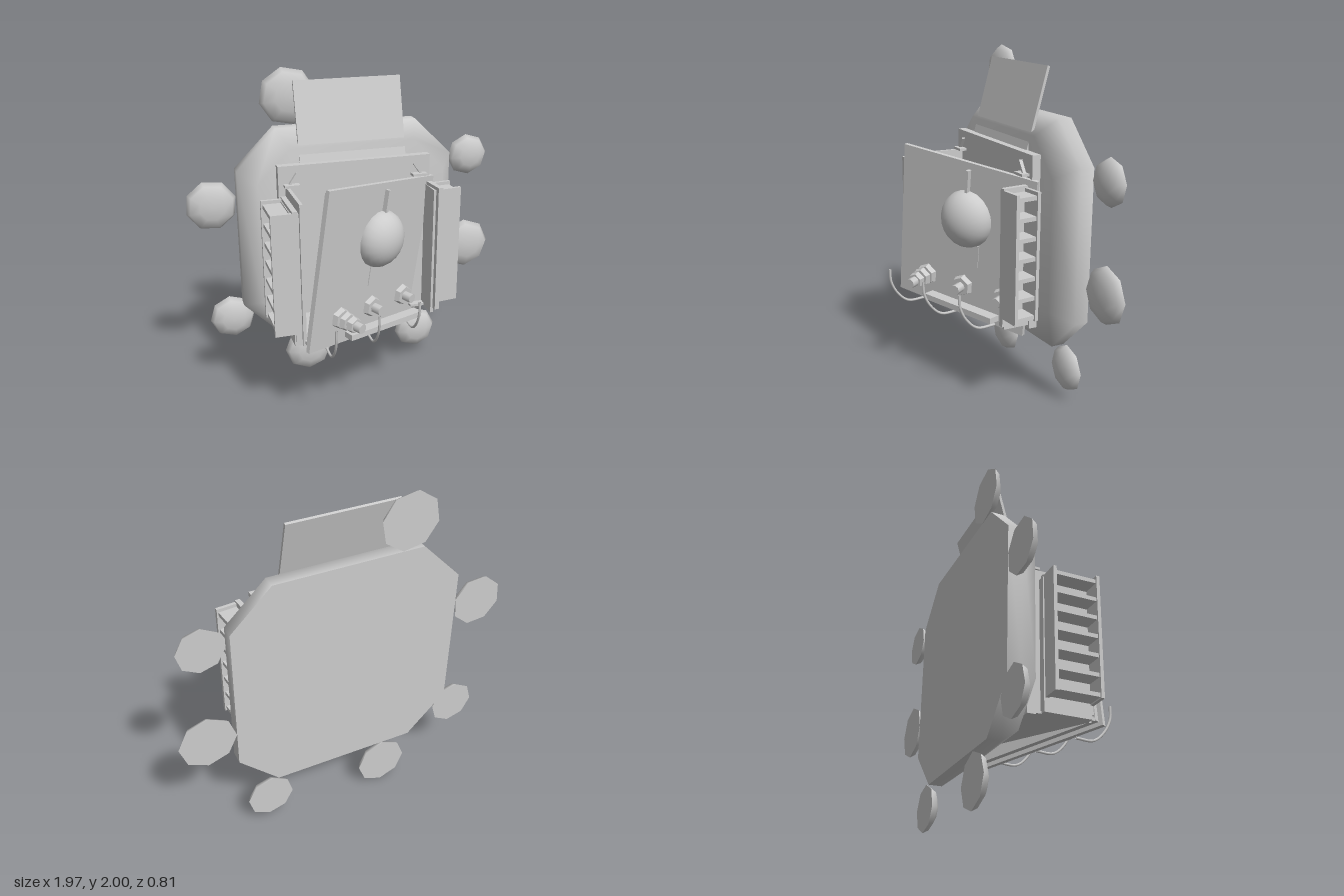
import * as THREE from 'three';

export function createModel() {
  const model = new THREE.Group();
  const grey = new THREE.MeshStandardMaterial({ color: 0xcccccc, side: THREE.DoubleSide });
  grey.name = 'light grey';

  const add = (name, geo, parent = model, pos = [0, 0, 0], rot = [0, 0, 0]) => {
    const m = new THREE.Mesh(geo, grey);
    m.name = name;
    m.position.set(...pos);
    m.rotation.set(...rot);
    parent.add(m);
    return m;
  };
  // box given by its min and max corners
  const box = (name, a, b, parent = model) => add(name,
    new THREE.BoxGeometry(b[0] - a[0], b[1] - a[1], b[2] - a[2]), parent,
    [0, 1, 2].map(i => (a[i] + b[i]) / 2));

  // Bevelled octagonal backing, lofted through rings of [z, scale]
  const outline = [[-0.45, 0.32], [0.42, 0.32], [0.655, 0.55], [0.655, 1.43],
    [0.42, 1.66], [-0.45, 1.66], [-0.69, 1.42], [-0.69, 0.56]];
  const rings = [[-0.41, 1], [-0.33, 1], [-0.21, 0.86]];
  const pts = [], idx = [];
  rings.forEach(([z, s], r) => outline.forEach(([x, y], i) => {
    pts.push(x * s, 0.99 + (y - 0.99) * s, z);
    if (r === 0) return;
    const a = (r - 1) * 8 + i, b = (r - 1) * 8 + (i + 1) % 8;
    idx.push(a, b, b + 8, a, b + 8, a + 8);
  }));
  for (let i = 1; i < 7; i++) idx.push(16, 16 + i, 17 + i);
  const backing = new THREE.BufferGeometry();
  backing.setAttribute('position', new THREE.Float32BufferAttribute(pts, 3));
  backing.setIndex(idx);
  backing.computeVertexNormals();
  add('backing', backing);
  const cap = new THREE.ShapeGeometry(new THREE.Shape(outline.map(p => new THREE.Vector2(...p))));
  add('backingRear', cap.rotateY(Math.PI).scale(-1, 1, 1), model, [0, 0, -0.41]);

  // Flattened studs around the backing: x, y, radius, turn
  [[-0.355, 1.83, 0.172, 0.2], [-0.84, 1.205, 0.155, 0.3], [-0.755, 0.46, 0.14, 0.1],
    [-0.27, 0.157, 0.155, 0], [0.475, 0.192, 0.14, 0.1], [0.82, 0.77, 0.165, 0.05],
    [0.81, 1.385, 0.132, 0.1]].forEach(([x, y, r, turn]) => {
    const dome = new THREE.SphereGeometry(r, 8, 3, 0, Math.PI * 2, 0, Math.PI / 2);
    dome.rotateX(Math.PI / 2).rotateZ(turn).scale(1, 1, 0.068 / r);
    add('stud', dome, model, [x, y, -0.41]);
    add('studBase', new THREE.CircleGeometry(r, 8).rotateY(Math.PI).rotateZ(turn), model, [x, y, -0.41]);
  });

  // Cabinet frame, walls and floor
  box('frame', [-0.48, 0.48, -0.205], [0.45, 1.48, -0.155]);
  box('leftWall', [-0.44, 0.5, -0.155], [-0.42, 1.36, 0.19]);
  box('rightWall', [0.42, 0.5, -0.155], [0.44, 1.3, 0]);
  const floor = new THREE.Shape([[-0.43, -0.22], [-0.43, 0.155], [0.28, 0.155]]
    .map(p => new THREE.Vector2(...p)));
  add('floor', new THREE.ExtrudeGeometry(floor, { depth: 0.02, bevelEnabled: false }),
    model, [0, 0.52, 0], [-Math.PI / 2, 0, 0]);
  for (const s of [-1, 1]) {
    const x = s * 0.39 - 0.015;
    for (const y of [0.5, 1.36]) box('bracket', [x - 0.045, y, -0.155], [x + 0.045, y + 0.015, -0.11]);
    add('bracketArm', new THREE.BoxGeometry(0.012, 0.08, 0.02), model, [x - s * 0.01, 1.405, -0.14], [0, 0, s * 0.6]);
  }

  // Leaning rear panel
  add('rearPanel', new THREE.BoxGeometry(0.65, 0.5, 0.016), model, [-0.015, 1.69, -0.262], [-0.26, 0, 0]);

  // Side racks with shelves open to the outside
  const rack = (name, x, z, depth, width, turn) => {
    const g = new THREE.Group();
    g.name = name;
    g.position.set(x, 0, z);
    g.rotation.y = turn;
    box('rackBack', [-0.02, 0.53, -width / 2], [0.01, 1.32, width / 2], g);
    for (const s of [-1, 1]) {
      const c = s * (width / 2 - 0.01);
      box('rackSide', [0, 0.58, c - 0.01], [depth, 1.31, c + 0.01], g);
    }
    for (let i = 0; i < 7; i++) {
      const y = 0.6 + i * 0.113;
      box('rackShelf', [0, y - 0.012, -width / 2 + 0.02], [depth - 0.01, y + 0.012, width / 2 - 0.02], g);
    }
    model.add(g);
  };
  rack('rightRack', 0.45, -0.05, 0.13, 0.155, 0.12 - 0.02);
  rack('leftRack', -0.47, 0.04, 0.13, 0.285, Math.PI);
  box('leftRackMount', [-0.485, 0.5, -0.11], [-0.43, 1.3, 0.17]);

  // Loose door, hanging askew: u along its width, v up, n outward
  const u = new THREE.Vector3(0.78, -0.11, -0.45).normalize();
  const n = new THREE.Vector3().crossVectors(u, new THREE.Vector3(0.14, 0.95, 0)).normalize();
  const v = new THREE.Vector3().crossVectors(n, u);
  const door = new THREE.Group();
  door.name = 'door';
  door.quaternion.setFromRotationMatrix(new THREE.Matrix4().makeBasis(u, v, n));
  door.position.set(-0.43, 0.5, 0.28);
  model.add(door);
  const W = 0.907, H = 0.96;
  box('doorPanel', [0, 0, -0.025], [W, H, 0], door);
  box('doorLip', [0.025, 0.025, -0.055], [W - 0.025, H - 0.025, -0.025], door);
  const knob = new THREE.SphereGeometry(0.17, 20, 10, 0, Math.PI * 2, 0, Math.PI / 2);
  add('knob', knob.rotateX(Math.PI / 2).scale(0.97, 1.02, 0.76), door, [0.475, 0.62, 0]);
  box('knobFin', [0.463, 0.77, 0], [0.481, 0.92, 0.03], door);
  box('plate', [0.43, 0.33, 0], [0.57, 0.47, 0.005], door);

  // Bolts: position on the door and number of stacked nuts
  [[0.215, 0.175, 3], [0.48, 0.19, 1], [0.765, 0.205, 1]].forEach(([x, y, count]) => {
    const len = 0.05 + count * 0.045;
    add('boltShaft', new THREE.CylinderGeometry(0.03, 0.03, len, 8), door, [x, y, len / 2], [Math.PI / 2, 0, 0]);
    for (let i = 0; i < count; i++) {
      add('nut', new THREE.CylinderGeometry(0.058 - i * 0.007, 0.068 - i * 0.008, 0.032, 6).toNonIndexed(), door,
        [x, y, 0.02 + i * 0.05], [Math.PI / 2, 0, 0]).geometry.computeVertexNormals();
    }
  });

  // Slim ledge low on the door
  add('ledge', new THREE.BoxGeometry(0.54, 0.035, 0.07), model, [0.08, 0.523, 0.1], [0, 0.36, -0.015]);

  // Wire hooks under the door
  [[-0.3, 0.25], [-0.015, 0.15], [0.27, 0.05]].forEach(([x, z]) => {
    const path = new THREE.CatmullRomCurve3([[0.68, 0.145], [0.6, 0.14], [0.52, 0.1], [0.46, 0.03], [0.46, -0.08]]
      .map(([y, dz]) => new THREE.Vector3(x, y, z + dz)));
    add('hook', new THREE.TubeGeometry(path, 16, 0.008, 6), model);
  });

  return model;
}
